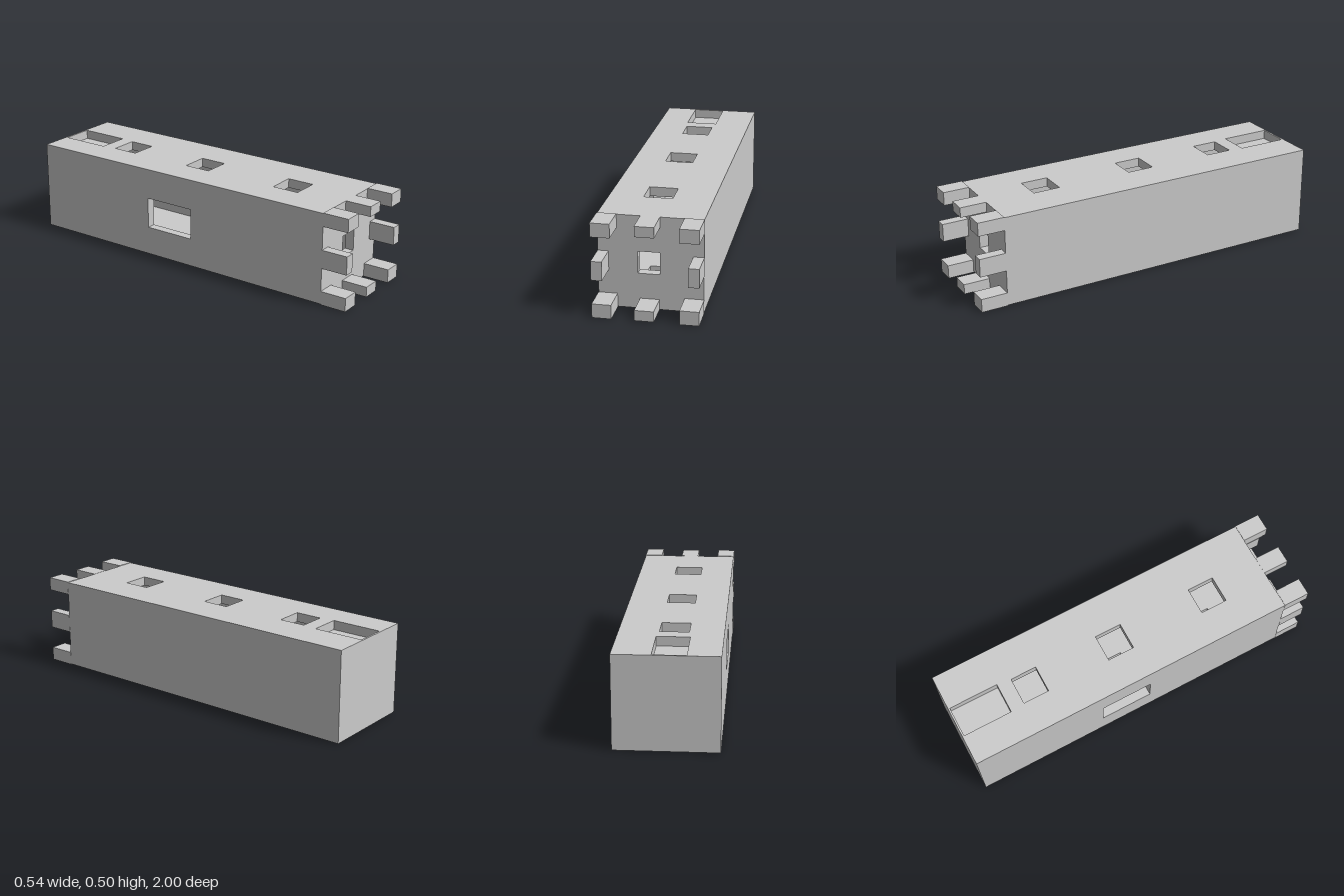
import * as THREE from 'three';

const material = new THREE.MeshStandardMaterial({ color: 0xcccccc, flatShading: true });
const WALL = 0.05;              // wall thickness
const X = 0.267;                // half width
const Y0 = 0.003, Y1 = 0.497;   // underside and upper side of the shaft
const BACK = -1, SHOULDER = 0.855, FRONT = 1;
const SKIN = 0.01;              // thin end plate behind the door

function rectangle(PathType, [a0, a1, b0, b1]) {
  return new PathType([[a0, b0], [a1, b0], [a1, b1], [a0, b1]].map(([a, b]) => new THREE.Vector2(a, b)));
}

// Flat slab with rectangular openings; each rectangle is [a0, a1, b0, b1]
function slab(outline, openings, depth) {
  const shape = rectangle(THREE.Shape, outline);
  shape.holes = openings.map((o) => rectangle(THREE.Path, o));
  return new THREE.ExtrudeGeometry(shape, { depth, bevelEnabled: false });
}

export function createModel() {
  const model = new THREE.Group();
  const add = (name, geometry) => {
    const mesh = new THREE.Mesh(geometry, material);
    mesh.name = name;
    model.add(mesh);
  };
  const box = (name, x0, x1, y0, y1, z0, z1) => add(name,
    new THREE.BoxGeometry(x1 - x0, y1 - y0, z1 - z0)
      .translate((x0 + x1) / 2, (y0 + y1) / 2, (z0 + z1) / 2));

  // Horizontal walls, openings given as [x0, x1, z0, z1]
  const horizontal = (name, openings, y) => add(name,
    slab([-X, X, -SHOULDER, -BACK - SKIN], openings.map(([a, b, c, d]) => [a, b, -d, -c]), WALL)
      .rotateX(-Math.PI / 2).translate(0, y, 0));
  const nearWindow = [-0.09, 0.06, 0.44, 0.59];
  const middleWindow = [-0.09, 0.06, -0.13, 0.02];
  const farWindow = [-0.09, 0.06, -0.635, -0.49];
  const door = [-0.1, 0.07, BACK + SKIN + 0.0005, -0.715];
  horizontal('upperWall', [nearWindow, middleWindow, farWindow, door], Y1 - WALL);
  horizontal('lowerWall', [nearWindow, middleWindow], Y0);
  box('doorPanel', -0.12, 0.09, Y1 - WALL - 0.01, Y1 - WALL, BACK + SKIN, -0.7);

  // Side walls, openings given as [z0, z1, y0, y1]
  const side = (name, openings, xOuter) => add(name,
    slab([BACK + SKIN, SHOULDER, Y0 + WALL, Y1 - WALL], openings, WALL)
      .rotateY(-Math.PI / 2).translate(xOuter, 0, 0));
  side('leftWall', [], X);
  side('rightWall', [[-0.26, 0.03, 0.16, 0.33]], -X + WALL);

  // End walls
  box('endPlate', -X, X, Y0, Y1, BACK, BACK + SKIN);
  add('frontWall', slab([-X + WALL, X - WALL, Y0 + WALL, Y1 - WALL], [[-0.065, 0.047, 0.192, 0.309]], WALL)
    .translate(0, 0, SHOULDER - WALL));

  // Battlements around the front rim
  const tooth = (name, x0, x1, y0, y1) => box(name, x0, x1, y0, y1, SHOULDER, FRONT);
  for (const [y0, y1] of [[0, 0.074], [0.427, 0.5]]) {
    tooth('cornerBattlement', -0.268, -0.17, y0, y1);
    tooth('cornerBattlement', 0.17, 0.268, y0, y1);
  }
  tooth('sideBattlement', -0.268, -0.213, 0.2, 0.3);
  tooth('sideBattlement', 0.213, 0.268, 0.2, 0.3);
  tooth('upperBattlement', -0.05, 0.048, 0.443, 0.498);
  tooth('lowerBattlement', -0.055, 0.043, 0.002, 0.057);

  return model;
}
